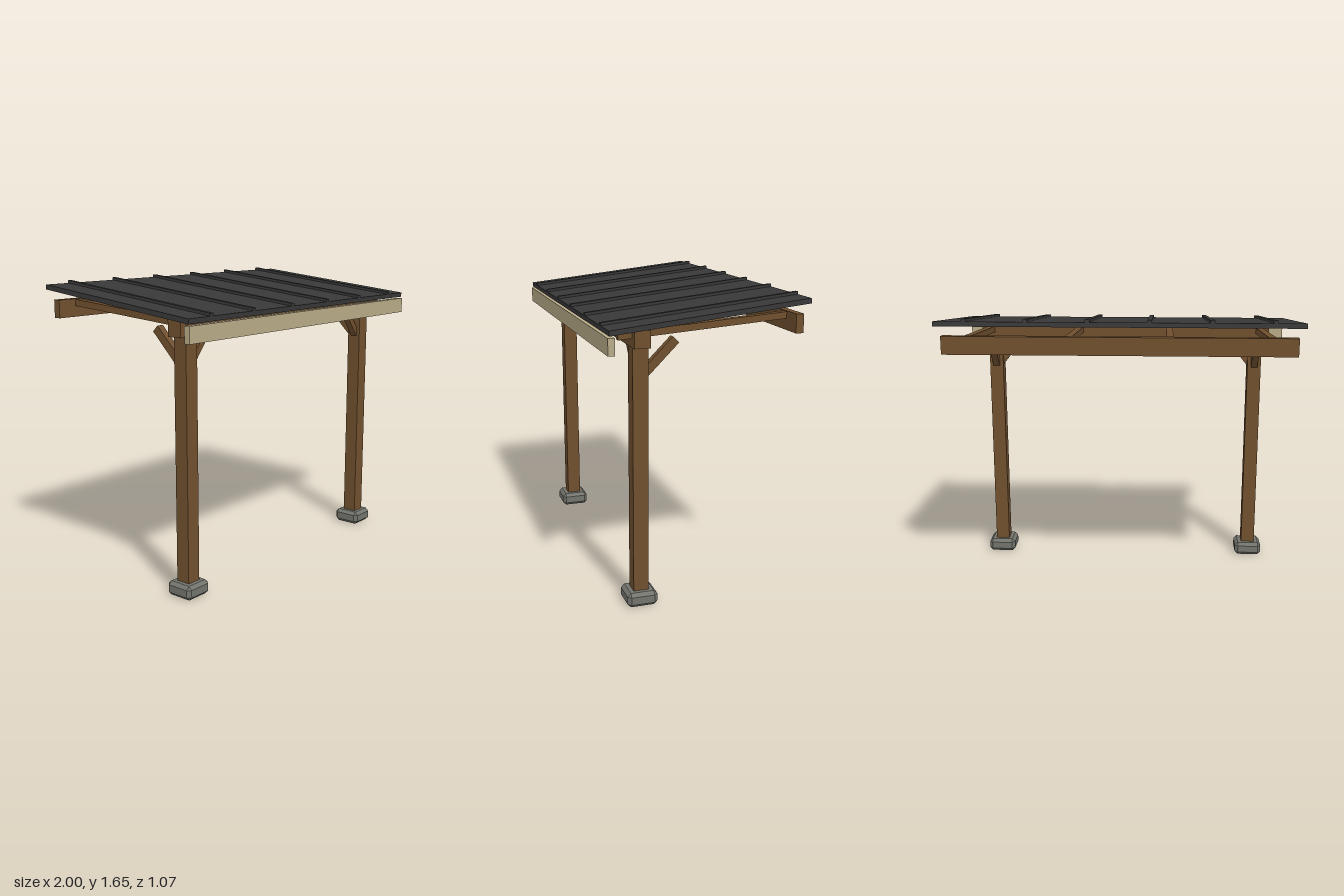
import * as THREE from 'three';
import { ConvexGeometry } from 'three/addons/geometries/ConvexGeometry.js';

const wood = new THREE.MeshStandardMaterial({ name: 'brown wood', color: 0x70502f });
const metal = new THREE.MeshStandardMaterial({ name: 'dark roof metal', color: 0x383838 });
const trim = new THREE.MeshStandardMaterial({ name: 'cream trim', color: 0xb9ab88 });
const stone = new THREE.MeshStandardMaterial({ name: 'grey stone', color: 0x74746e });

function box(parent, name, material, size, position) {
  const mesh = new THREE.Mesh(new THREE.BoxGeometry(...size), material);
  mesh.name = name;
  mesh.position.set(...position);
  parent.add(mesh);
  return mesh;
}

// Square timber whose long axis runs between two points
function timber(parent, name, from, to, width, height) {
  const a = new THREE.Vector3(...from);
  const b = new THREE.Vector3(...to);
  const mid = a.clone().add(b).multiplyScalar(0.5);
  const mesh = box(parent, name, wood, [width, height, a.distanceTo(b)], mid.toArray());
  mesh.lookAt(b);
  return mesh;
}

// Block with every edge and corner cut off
function chamferedBlock(w, h, d, c) {
  const points = [];
  for (const x of [-w / 2, w / 2]) for (const y of [-h / 2, h / 2]) for (const z of [-d / 2, d / 2]) {
    const sx = Math.sign(x) * c, sy = Math.sign(y) * c, sz = Math.sign(z) * c;
    points.push(
      new THREE.Vector3(x, y - sy, z - sz),
      new THREE.Vector3(x - sx, y, z - sz),
      new THREE.Vector3(x - sx, y - sy, z)
    );
  }
  return new ConvexGeometry(points);
}

export function createModel() {
  const model = new THREE.Group();
  model.name = 'leanToShelter';
  const postX = 0.808, postZ = 0.33, postW = 0.083;

  // Posts with stone footings and two knee braces each
  const footingGeometry = chamferedBlock(0.166, 0.08, 0.166, 0.019);
  for (const side of [-1, 1]) {
    const label = side > 0 ? 'left' : 'right';
    const footing = new THREE.Mesh(footingGeometry, stone);
    footing.name = label + 'Footing';
    footing.position.set(side * postX, 0.04, postZ);
    model.add(footing);
    box(model, label + 'Post', wood, [postW, 1.36, postW], [side * postX, 0.72, postZ]);
    timber(model, label + 'SideBrace',
      [side * 0.79, 1.245, postZ], [side * 0.645, 1.425, postZ], 0.04, 0.034);
    timber(model, label + 'BackBrace',
      [side * postX, 1.25, 0.31], [side * postX, 1.425, 0.135], 0.04, 0.046);
  }

  // Front and back beams
  box(model, 'frontBeam', wood, [1.78, 0.09, 0.087], [0, 1.445, postZ]);
  box(model, 'backBeam', wood, [1.93, 0.1, 0.042], [0, 1.497, -0.485]);

  // Rafters
  for (let i = 0; i < 4; i++) {
    const x = -0.83 + i * (1.66 / 3);
    timber(model, 'rafter', [x, 1.459, 0.447], [x, 1.527, -0.49], 0.04, 0.036);
  }

  // Fascia board along the front eave
  box(model, 'fascia', trim, [2, 0.088, 0.035], [0, 1.438, 0.52]);

  // Sloped metal roof with standing seams
  const roof = new THREE.Group();
  roof.name = 'roof';
  roof.position.set(0, 1.547, 0);
  roof.rotation.x = Math.atan(0.107);
  box(roof, 'roofPanel', metal, [2, 0.027, 1.064], [0, 0.0135, 0]);
  for (let i = 0; i < 6; i++) {
    box(roof, 'roofSeam', metal, [0.025, 0.016, 1.064], [(i - 2.5) / 3, 0.034, 0]);
  }
  model.add(roof);

  return model;
}
